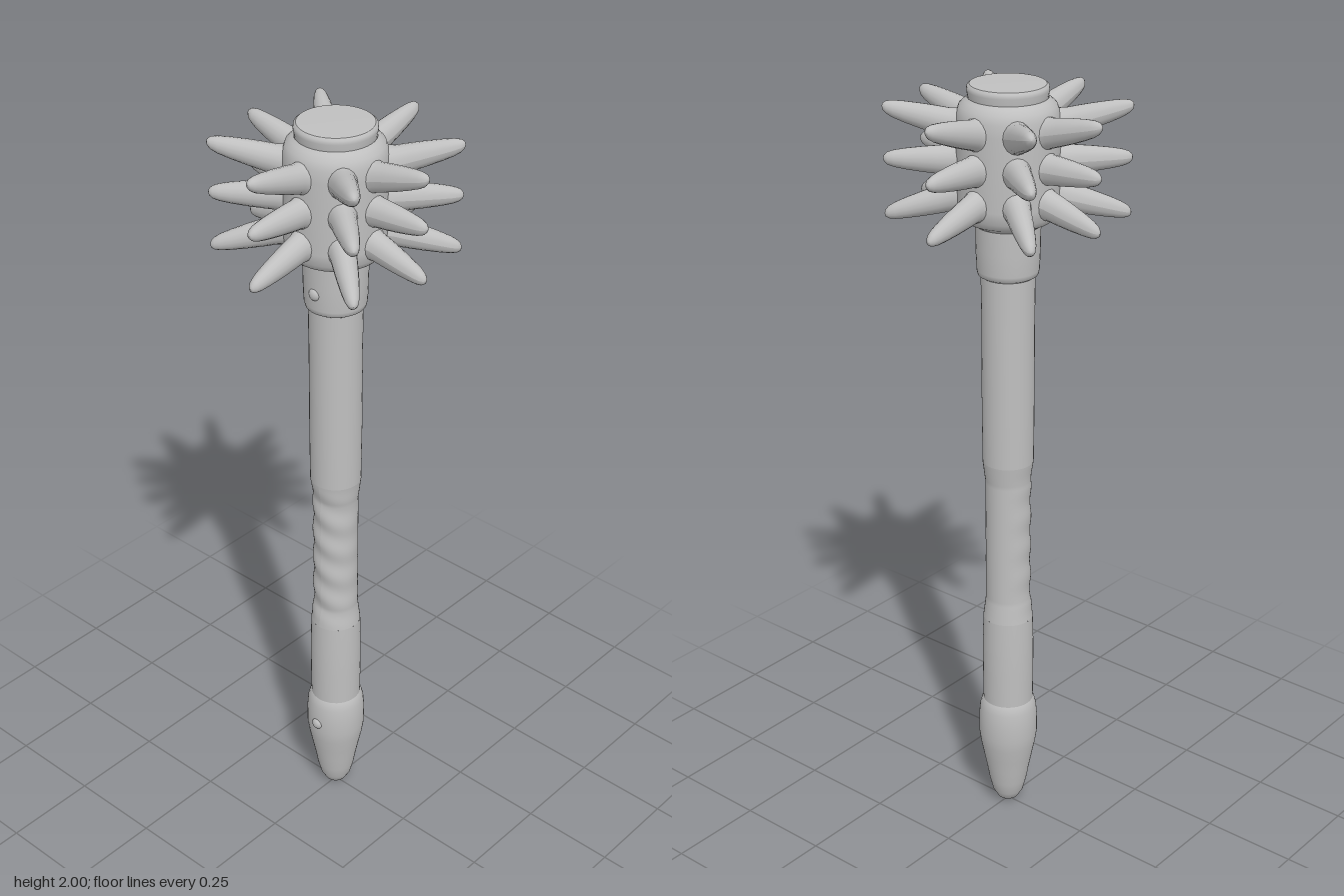
import * as THREE from 'three';

const v2 = (pts) => pts.map(([r, y]) => new THREE.Vector2(r, y));

// Smooth lathe through a few profile points (bottom to top)
function lathe(pts, segments = 40) {
  return new THREE.LatheGeometry(v2(pts), segments);
}

// Spike along +x: oval section, tapering to a blunt tip, tilted by a slope
function spikeGeometry(reach, slope) {
  const k = (reach - 0.1) / 0.19;
  const profile = [[0.04, 0], [0.034, 0.02], [0.031, 0.035], [0.029, 0.065], [0.026, 0.1], [0.0215, 0.14],
    [0.0175, 0.165], [0.013, 0.18], [0.007, 0.188], [0, 0.19]];
  const g = lathe(profile.map(([r, y]) => [r, y * k]), 16);
  g.rotateZ(-Math.PI / 2);
  g.scale(1, 1.18, 1);
  g.translate(0.1, 0, 0);
  const p = g.attributes.position;
  for (let i = 0; i < p.count; i++) p.setY(i, p.getY(i) + slope * (p.getX(i) - 0.12));
  g.computeVertexNormals();
  return g;
}

// Grip with slanted finger ripples, strongest toward the front
function gripGeometry() {
  const rows = [];
  for (let i = 0; i <= 80; i++) rows.push([0.058, 0.58 + 0.45 * i / 80]);
  const g = lathe(rows, 40);
  const p = g.attributes.position;
  for (let i = 0; i < p.count; i++) {
    const x = p.getX(i), y = p.getY(i), z = p.getZ(i);
    const t = (y - 0.58) / 0.45;
    const fade = Math.min(1, Math.min(t, 1 - t) * 8);
    const front = Math.max(0, 0.45 + 0.55 * z / 0.058);
    const wave = Math.cos((y + 0.5 * x) * Math.PI * 2 / 0.085);
    const s = 1 + 0.12 * (1 - fade) + 0.04 * fade * front * wave;
    p.setXYZ(i, x * s, y, z * s);
  }
  g.computeVertexNormals();
  return g;
}

export function createModel() {
  const model = new THREE.Group();
  const metal = new THREE.MeshStandardMaterial({ color: 0xbfbfbf });
  metal.name = 'grey metal';

  const add = (name, geometry, parent = model) => {
    const mesh = new THREE.Mesh(geometry, metal);
    mesh.name = name;
    parent.add(mesh);
    return mesh;
  };

  // Rounded pommel
  add('pommel', lathe([[0, 0], [0.014, 0.002], [0.028, 0.012], [0.041, 0.035], [0.05, 0.07], [0.057, 0.11],
    [0.065, 0.15], [0.073, 0.19], [0.078, 0.225], [0.078, 0.27], [0.075, 0.305], [0.07, 0.323], [0.065, 0.332]]));

  // Shaft sections
  add('lowerShaft', lathe([[0.066, 0.32], [0.067, 0.42], [0.067, 0.5], [0.065, 0.58]]));
  add('grip', gripGeometry());
  add('upperShaft', lathe([[0.065, 1.03], [0.066, 1.15], [0.066, 1.4], [0.067, 1.54]]));
  add('collar', lathe([[0.066, 1.527], [0.074, 1.532], [0.077, 1.545], [0.079, 1.6], [0.08, 1.68]]));

  // Small rivets on the front
  for (const [y, z] of [[0.25, 0.075], [1.585, 0.075]]) {
    const rivet = add('rivet', new THREE.SphereGeometry(0.016, 16, 12));
    rivet.scale.z = 0.7;
    rivet.position.set(0, y, z);
  }

  // Head drum and raised cap
  const head = new THREE.Group();
  head.name = 'head';
  model.add(head);
  add('drum', lathe([[0.076, 1.655], [0.088, 1.663], [0.108, 1.673], [0.12, 1.69], [0.125, 1.72], [0.125, 1.9],
    [0.123, 1.93], [0.116, 1.95], [0.104, 1.961], [0.096, 1.968]]), head);
  add('cap', lathe([[0.094, 1.955], [0.095, 1.97], [0.098, 1.985], [0.097, 1.994], [0.091, 1.999]], 48), head);
  add('capTop', lathe([[0.091, 1.999], [0.085, 2], [0, 2]], 48), head);

  // Three tiers of eight spikes
  const tiers = [[1.73, -0.26], [1.815, 0.03], [1.9, 0.26]];
  for (const [y, slope] of tiers) {
    for (let i = 0; i < 8; i++) {
      const diagonal = i % 2 === 1;
      const reach = diagonal ? 0.295 : i % 4 === 0 ? 0.274 : 0.288;
      // Diagonals lean slightly toward the x axis
      const lean = diagonal ? (i % 4 === 1 ? -0.08 : 0.08) : 0;
      const spike = add('spike', spikeGeometry(reach, slope), head);
      spike.position.y = y;
      spike.rotation.y = i * Math.PI / 4 + lean;
    }
  }
  return model;
}
